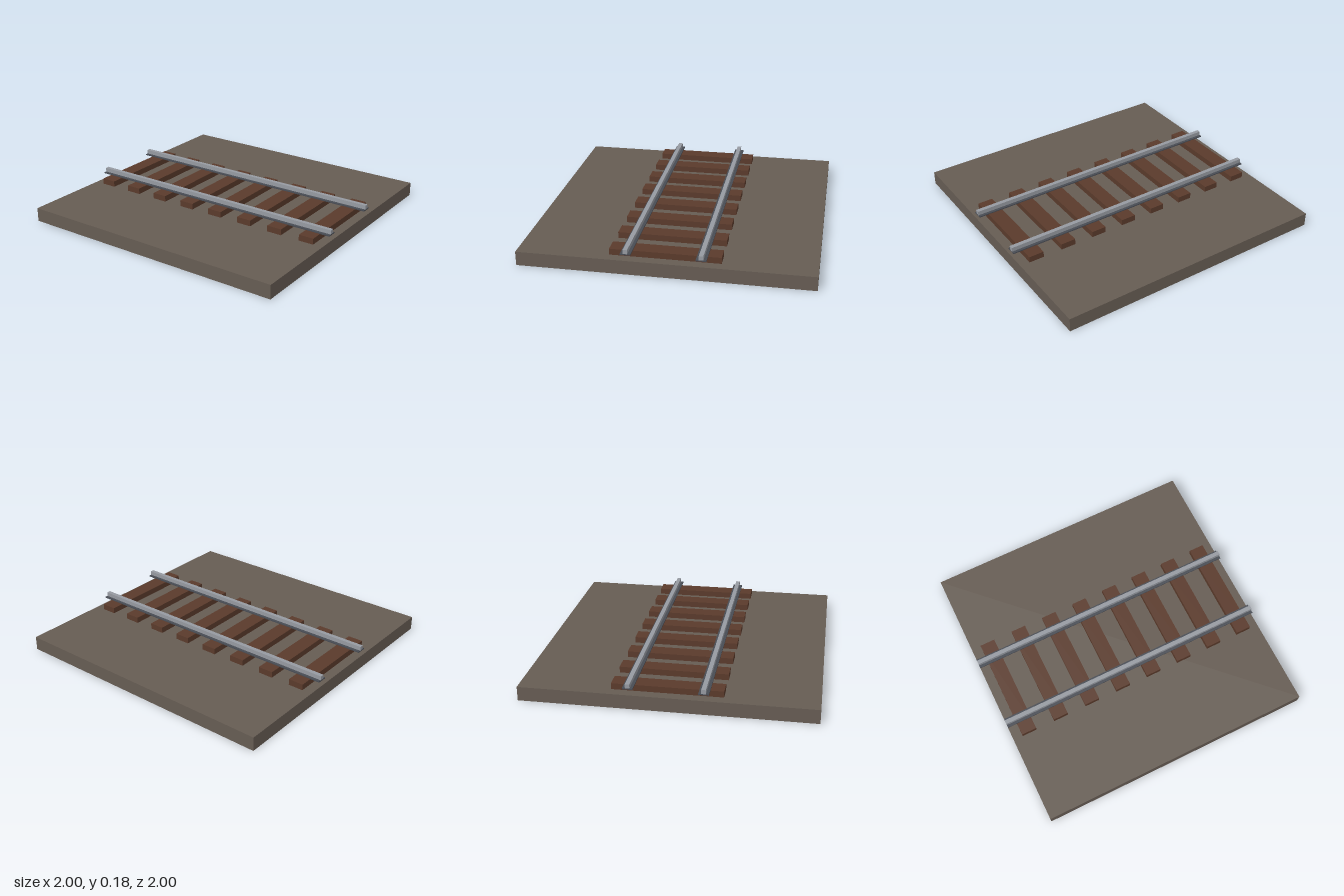
import * as THREE from 'three';

const mat = (name, color) => {
  const m = new THREE.MeshStandardMaterial({ color });
  m.name = name;
  return m;
};

export function createModel() {
  const group = new THREE.Group();
  group.name = 'railwayTrack';

  const earth = mat('earth brown', 0x665c53);
  const wood = mat('sleeper wood', 0x5a3a2b);
  const steel = mat('polished steel', 0x969aa1);
  const darkSteel = mat('dark steel', 0x484c54);

  // Box standing on height y
  const box = (name, w, h, d, x, y, z, material) => {
    const mesh = new THREE.Mesh(new THREE.BoxGeometry(w, h, d), material);
    mesh.name = name;
    mesh.position.set(x, y + h / 2, z);
    group.add(mesh);
  };

  // Ground slab
  box('groundSlab', 2, 0.1, 2, 0, 0, 0, earth);

  // Eight evenly spaced sleepers
  for (let i = 0; i < 8; i++) {
    box('sleeper', 0.75, 0.043, 0.11, 0, 0.1, -0.875 + i * 0.25, wood);
  }

  // Two rails, each a wide dark foot under a narrow bright head
  for (const [side, x] of [['left', 0.25], ['right', -0.25]]) {
    box(side + 'RailFoot', 0.07, 0.008, 2, x, 0.142, 0, darkSteel);
    box(side + 'RailHead', 0.03, 0.03, 2, x, 0.15, 0, steel);
  }

  return group;
}
